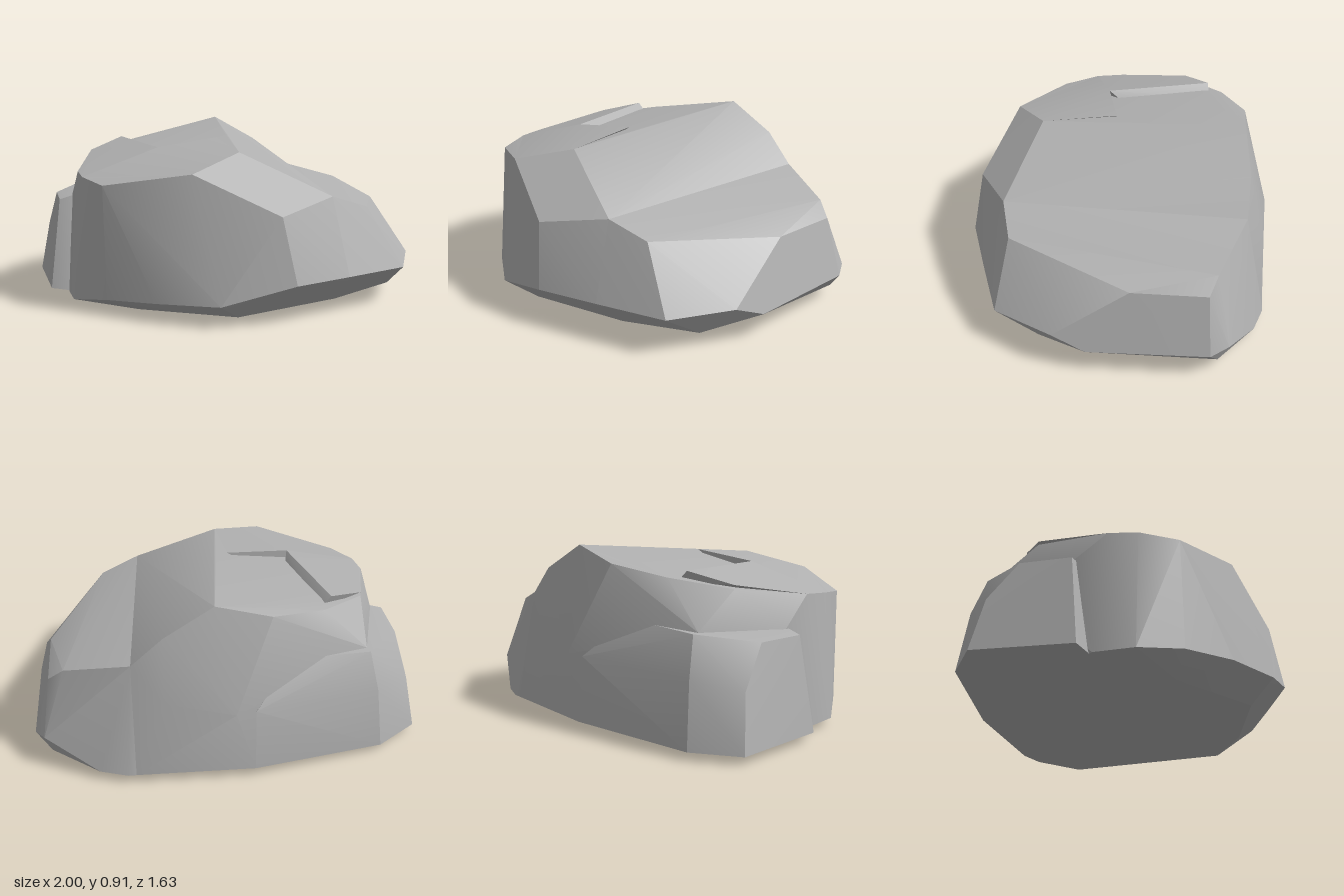
import * as THREE from 'three';
import { toCreasedNormals } from 'three/addons/utils/BufferGeometryUtils.js';
import { ConvexGeometry } from 'three/addons/geometries/ConvexGeometry.js';

const stone = new THREE.MeshStandardMaterial({ color: 0xb0b0b0 });
stone.name = 'greyStone';

// A chipped block of stone: the hull of its corners, soft across shallow angles
function block(name, corners) {
  const hull = new ConvexGeometry(corners.map((c) => new THREE.Vector3(...c)));
  const mesh = new THREE.Mesh(toCreasedNormals(hull, 0.38), stone);
  mesh.name = name;
  return mesh;
}

export function createModel() {
  const rock = new THREE.Group();
  rock.name = 'rock';

  // Section shared by the tall block and the sloping shoulder
  const seam = [
    [0.41, 0.59, 0.57], [0.5, 0.62, -0.68], [0.46, 0.2, 0.7],
    [0.5, 0.05, -0.8], [0.45, 0.04, 0.52],
  ];

  // Tall left block with the ridge
  rock.add(block('mainBlock', [
    ...seam,
    // ridge and rim of the top
    [0.09, 0.91, -0.66], [0, 0.85, 0], [-0.04, 0.81, 0.42], [0.34, 0.77, -0.69],
    [-0.19, 0.84, -0.67], [-0.47, 0.79, -0.55], [-0.71, 0.74, -0.34],
    [-0.82, 0.69, 0.05], [-0.81, 0.68, 0.2], [-0.73, 0.66, 0.39], [-0.32, 0.73, 0.6],
    // front facet and lower lip
    [0.09, 0.53, 0.75], [0.15, 0.2, 0.81], [0, 0.14, 0.77], [-0.22, 0.11, 0.77],
    [-0.5, 0.1, 0.6], [-0.72, 0.08, 0.4], [-0.87, 0.04, 0.2], [-0.88, 0.03, 0],
    // base
    [-0.1, 0.015, 0.64], [-0.55, 0.0, 0.33], [-0.78, 0.02, 0.15], [-0.1, 0.05, -0.82],
    // back
    [0.35, 0.45, -0.77], [0, 0.38, -0.81], [-0.3, 0.58, -0.65],
    [-0.7, 0.56, -0.56], [-0.84, 0.54, -0.12],
  ]));

  // Lower shoulder falling away to the side
  rock.add(block('slopingShoulder', [
    ...seam,
    [0.62, 0.52, 0.51], [0.81, 0.2, 0.57], [0.97, 0.21, 0.26], [1, 0.14, 0.09],
    [1, 0.155, -0.52], [0.95, 0.18, -0.61], [0.91, 0.46, -0.5], [0.91, 0.46, -0.12],
    [0.83, 0.53, -0.54], [0.68, 0.05, -0.75], [0.54, 0.05, -0.8],
    [0.82, 0.06, 0.35], [0.92, 0.06, -0.56],
  ]));

  // Ledge standing out low on the other side
  rock.add(block('sideLedge', [
    [-0.1, 0.05, -0.82], [-0.78, 0.04, -0.7], [-1, 0.04, -0.55], [-0.97, 0.04, -0.05],
    [-0.88, 0.03, -0.02], [-0.91, 0.52, -0.1], [-0.84, 0.54, -0.1], [-0.91, 0.52, -0.36],
    [-0.71, 0.56, -0.6], [-0.3, 0.58, -0.65], [-0.95, 0.32, -0.5], [-0.75, 0.36, -0.66],
    [-0.1, 0.38, -0.79], [-0.3, 0.02, 0],
  ]));

  // Slightly raised layer around the shallow chip in the top
  const layer = [
    [[-0.04, 0.81, 0.42], [-0.32, 0.73, 0.6], [-0.73, 0.66, 0.39], [-0.81, 0.68, 0.2],
      [-0.4, 0.81, 0.09], [-0.06, 0.85, 0.02], [-0.4, 0.6, 0.1]],
    [[-0.81, 0.68, 0.2], [-0.73, 0.66, 0.39], [-0.82, 0.69, 0.05], [-0.71, 0.76, -0.34],
      [-0.52, 0.82, -0.47], [-0.43, 0.81, -0.02], [-0.4, 0.81, 0.09], [-0.46, 0.76, -0.48],
      [-0.38, 0.76, 0.02], [-0.5, 0.6, 0]],
  ];
  layer.forEach((corners, i) => rock.add(block(i ? 'sideTopLayer' : 'frontTopLayer', corners)));

  return rock;
}
